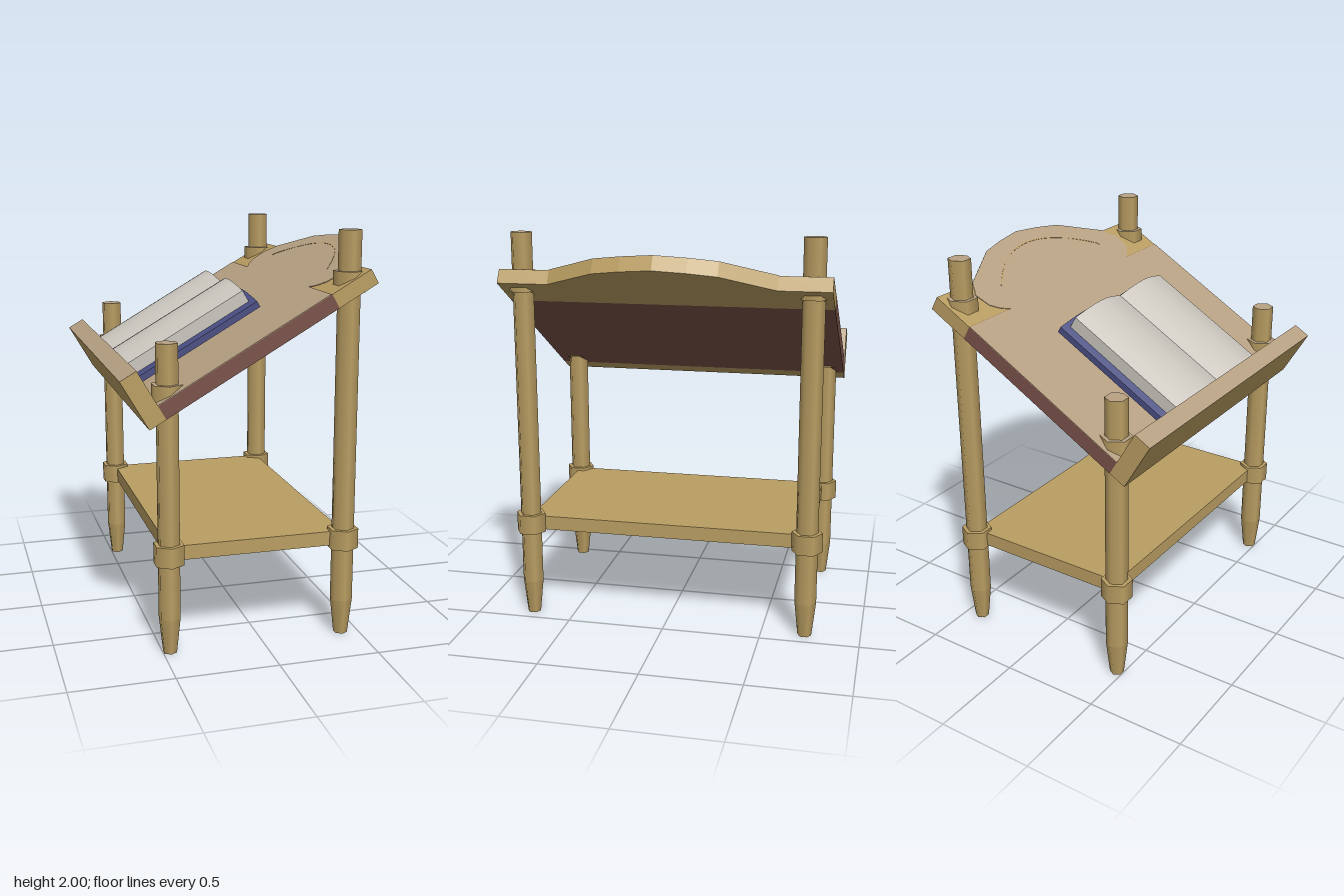
import * as THREE from 'three';
import { toCreasedNormals } from 'three/addons/utils/BufferGeometryUtils.js';

const mat = (name, color) => {
  const m = new THREE.MeshStandardMaterial({ color });
  m.name = name;
  return m;
};

export function createModel() {
  const wood = mat('wood', 0xb99d62);
  const face = mat('paleFace', 0xb8a183);
  const brown = mat('darkBrown', 0x785148);
  const blue = mat('coverBlue', 0x474c80);
  const paper = mat('paper', 0xcac6be);

  const model = new THREE.Group();
  model.name = 'lectern';
  const add = (parent, name, geometry, material, x = 0, y = 0, z = 0) => {
    const mesh = new THREE.Mesh(geometry, material);
    mesh.name = name;
    mesh.position.set(x, y, z);
    parent.add(mesh);
    return mesh;
  };
  const hex = (rTop, rBottom, h) => new THREE.CylinderGeometry(rTop, rBottom, h, 6);

  // Four six-sided legs with tapered feet and collars
  const legRows = [
    { name: 'front', x: -0.465, top: 1.51, collar: 1.27 },
    { name: 'rear', x: 0.412, top: 2.0, collar: 1.76 },
  ];
  for (const { name, x, top, collar } of legRows) {
    for (const s of [-1, 1]) {
      const leg = new THREE.Group();
      leg.name = name + (s > 0 ? 'LegA' : 'LegB');
      leg.position.set(x, 0, s * 0.72);
      add(leg, 'foot', hex(0.055, 0.035, 0.18), wood, 0, 0.09);
      add(leg, 'shaft', hex(0.055, 0.055, top - 0.18), [wood, face, wood], 0, (top + 0.18) / 2);
      add(leg, 'shelfCollar', hex(0.077, 0.077, 0.1), wood, 0, 0.5);
      add(leg, 'boardCollar', hex(0.077, 0.077, 0.1), [wood, face, wood], 0, collar);
      model.add(leg);
    }
  }

  // Lower shelf, its corners meeting the legs
  add(model, 'shelf', new THREE.BoxGeometry(0.877, 0.072, 1.44), wood, -0.0265, 0.498);

  // Sloping top: x runs up the slope, y is normal to the board
  const top = new THREE.Group();
  top.name = 'slopingTop';
  top.position.set(-0.49, 1.175, 0);
  top.rotation.z = Math.PI / 6;
  model.add(top);

  // Outline in (slope, width), given for one half and mirrored
  const slab = (half, depth) => {
    const pts = [...half, ...half.slice().reverse().map(([u, w]) => [u, -w])];
    const shape = new THREE.Shape(pts.map(([u, w]) => new THREE.Vector2(u, w)));
    return new THREE.ExtrudeGeometry(shape, { depth, bevelEnabled: false }).rotateX(-Math.PI / 2);
  };
  const crest = [[1.166, 0.56], [1.31, 0.3], [1.341, 0.16], [1.363, 0.001]];

  add(top, 'lowerBoard', new THREE.BoxGeometry(0.947, 0.075, 1.63), brown, 0.4735, 0.0375);
  add(top, 'crestBoard', slab([[0.947, 0.815], [1.166, 0.815], ...crest], 0.075), wood);

  // Thin pale surface, leaving the upper corners bare
  const bareCorner = [[0.944, 0.51], [0.97, 0.56], [1.01, 0.6], [1.09, 0.615]];
  add(top, 'boardFace', slab([[0, 0.815], [0.944, 0.815], ...bareCorner, ...crest], 0.003), face, 0, 0.075);

  // Thin curved inlay following the crest
  const arc = new THREE.Shape();
  arc.moveTo(1.085, 0.43);
  arc.quadraticCurveTo(1.47, 0, 1.085, -0.43);
  arc.lineTo(1.105, -0.42);
  arc.quadraticCurveTo(1.435, 0, 1.105, 0.42);
  add(top, 'arcInlay', new THREE.ExtrudeGeometry(arc, { depth: 0.002, bevelEnabled: false, curveSegments: 20 })
    .rotateX(-Math.PI / 2), wood, 0, 0.0775);

  // Lip that stops the book from sliding
  add(top, 'lip', new THREE.BoxGeometry(0.09, 0.265, 1.63),
    [face, wood, face, wood, wood, wood], -0.045, 0.1325);

  // Open book: two humped halves, extruded along the slope
  const book = new THREE.Group();
  book.name = 'openBook';
  top.add(book);
  const humped = (halfWidth, low, high, rise, length) => {
    const n = 16;
    const line = (base) => Array.from({ length: n + 1 }, (_, i) => {
      const w = halfWidth * (2 * i / n - 1);
      return new THREE.Vector2(w, base + rise * Math.abs(Math.sin(Math.PI * w / halfWidth)));
    });
    const shape = new THREE.Shape([...line(low), ...line(high).reverse()]);
    const g = new THREE.ExtrudeGeometry(shape, { depth: length, bevelEnabled: false });
    return toCreasedNormals(g.rotateY(Math.PI / 2), 0.4);
  };
  add(book, 'cover', humped(0.427, 0.1, 0.132, 0.045, 0.703), blue, 0.002);
  add(book, 'pages', humped(0.39, 0.131, 0.207, 0.044, 0.672), paper, 0.003);

  return model;
}
